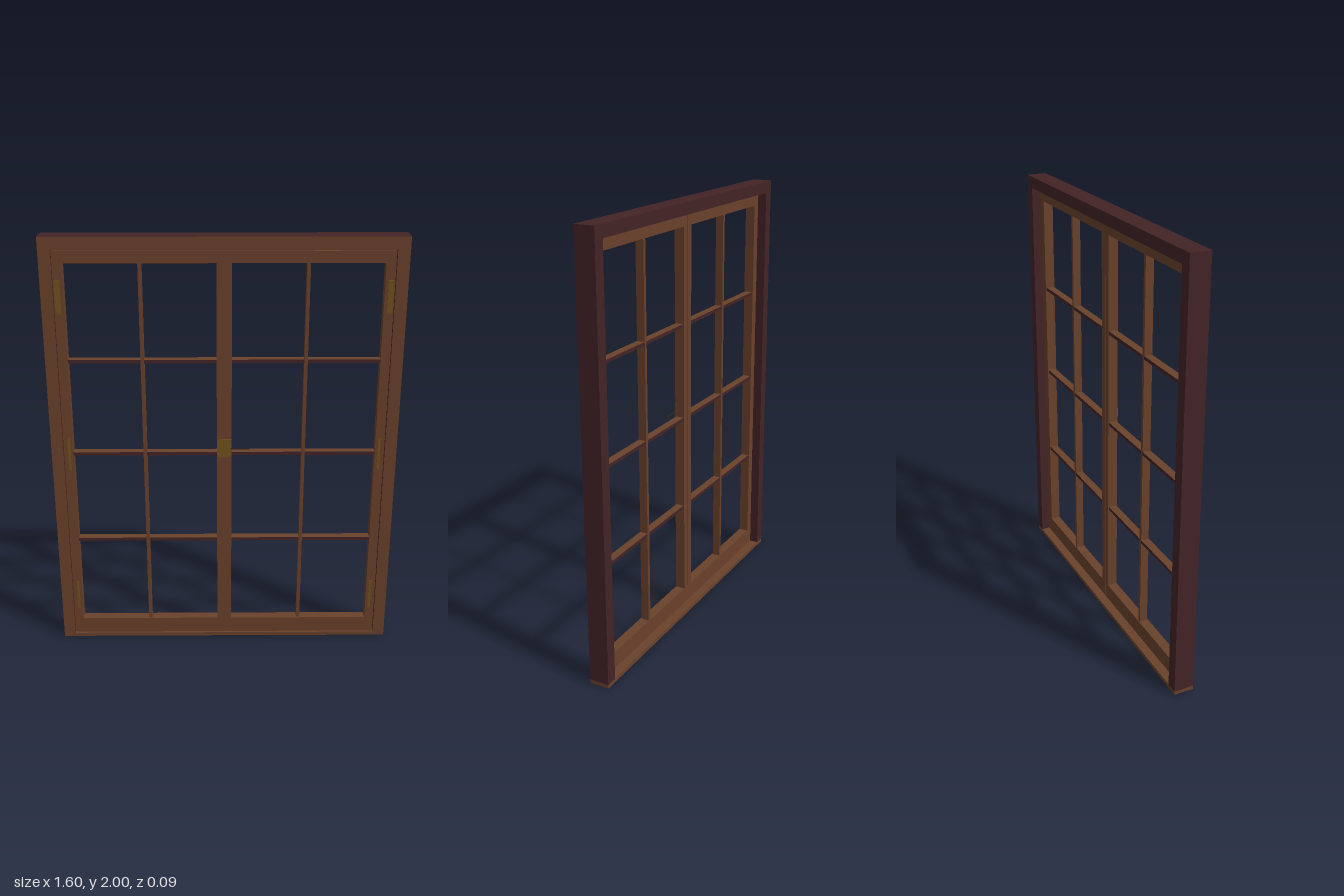
import * as THREE from 'three';

const mat = (name, color) => {
  const m = new THREE.MeshStandardMaterial({ color });
  m.name = name;
  return m;
};

export function createModel() {
  const wood = mat('brown wood', 0x69412b);
  const dark = mat('dark red wood', 0x432326);
  const brass = mat('aged brass', 0x70501c);
  const iron = mat('dark iron', 0x2a2422);
  // box face order: +x, -x, +y, -y, +z, -z
  const frameMats = [dark, dark, dark, dark, wood, dark];
  const barMats = [dark, dark, wood, wood, dark, dark];

  const model = new THREE.Group();
  model.name = 'casementWindow';

  // box given by its minimum and maximum on each axis
  const box = (parent, name, [x0, x1], [y0, y1], [z0, z1], material) => {
    const mesh = new THREE.Mesh(new THREE.BoxGeometry(x1 - x0, y1 - y0, z1 - z0), material);
    mesh.position.set((x0 + x1) / 2, (y0 + y1) / 2, (z0 + z1) / 2);
    mesh.name = name;
    parent.add(mesh);
    return mesh;
  };
  // the same span on the chosen side
  const span = (s, a, b) => (s > 0 ? [a, b] : [-b, -a]);

  // fixed outer frame
  const frame = new THREE.Group();
  frame.name = 'outerFrame';
  model.add(frame);
  const depth = [-0.047, 0.047];
  box(frame, 'sill', [-0.8, 0.8], [0, 0.018], depth, wood);
  box(frame, 'header', [-0.745, 0.745], [1.945, 2], depth, frameMats);
  box(frame, 'headerStop', [-0.745, 0.745], [1.936, 1.945], [-0.004, 0.03], wood);
  for (const s of [1, -1]) {
    box(frame, 'jamb', span(s, 0.745, 0.8), [0.018, 2], depth, frameMats);
    box(frame, 'jambStop', span(s, 0.736, 0.745), [0.018, 1.945], [-0.004, 0.03], wood);
  }

  // two hinged sashes with glazing bars
  const sashDepth = [-0.006, 0.041];
  const barDepth = [-0.002, 0.036];
  for (const s of [1, -1]) {
    const sash = new THREE.Group();
    sash.name = s > 0 ? 'leftSash' : 'rightSash';
    model.add(sash);
    box(sash, 'outerStile', span(s, 0.7, 0.737), [0.021, 1.938], sashDepth, wood);
    box(sash, 'meetingStile', span(s, 0.002, 0.034), [0.021, 1.938], sashDepth, wood);
    box(sash, 'topRail', span(s, 0.034, 0.7), [1.885, 1.938], sashDepth, wood);
    box(sash, 'bottomRail', span(s, 0.034, 0.7), [0.021, 0.1], sashDepth, wood);
    box(sash, 'verticalBar', span(s, 0.359, 0.375), [0.1, 1.885], barDepth, wood);
    for (const y of [0.542, 0.991, 1.44]) {
      box(sash, 'crossBar', span(s, 0.034, 0.359), [y - 0.008, y + 0.008], barDepth, barMats);
      box(sash, 'crossBar', span(s, 0.375, 0.7), [y - 0.008, y + 0.008], barDepth, barMats);
    }
    // hinges, the top one a little wider
    [[0.16, 0.31, 0.712, 0.724], [0.91, 1.07, 0.712, 0.724], [1.66, 1.81, 0.714, 0.739]]
      .forEach(([y0, y1, x0, x1]) => box(sash, 'hinge', span(s, x0, x1), [y0, y1], [0.038, 0.044], brass));
  }
  // cover strip closing the joint between the sashes
  box(model, 'jointStrip', [-0.003, 0.003], [0.021, 1.938], [0, 0.034], wood);

  // latch plate with spindle and lever
  const latch = new THREE.Group();
  latch.name = 'latch';
  model.add(latch);
  box(latch, 'latchPlate', [-0.034, 0.034], [0.975, 1.065], [0.036, 0.043], brass);
  const spindle = new THREE.Mesh(new THREE.CylinderGeometry(0.012, 0.012, 0.008, 16), brass);
  spindle.name = 'spindle';
  spindle.rotation.x = Math.PI / 2;
  spindle.position.set(0.018, 1.018, 0.043);
  latch.add(spindle);
  box(latch, 'lever', [0.012, 0.118], [1.015, 1.021], [0.041, 0.047], iron);

  return model;
}
